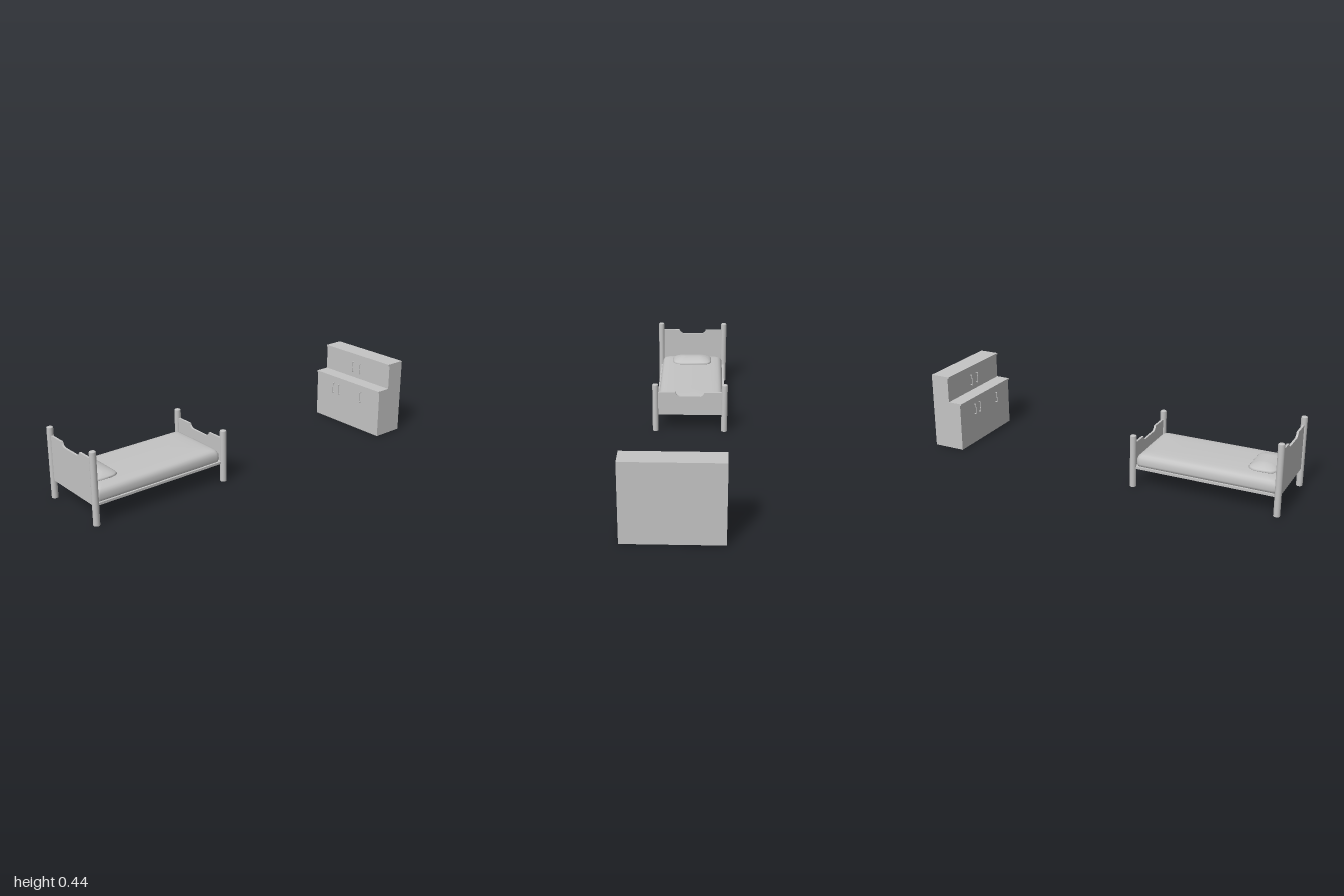
import * as THREE from 'three';

const lightGrey = new THREE.MeshStandardMaterial({ color: 0xc4c4c4 });
lightGrey.name = 'light grey';

function add(parent, geometry, name, x = 0, y = 0, z = 0) {
  const mesh = new THREE.Mesh(geometry, lightGrey);
  mesh.name = name;
  mesh.position.set(x, y, z);
  parent.add(mesh);
  return mesh;
}

function box(parent, name, w, h, d, x, y0, z) {
  return add(parent, new THREE.BoxGeometry(w, h, d), name, x, y0 + h / 2, z);
}

// Soft closed form: rounded rectangles stacked from bottom to top, profile = [y, inset]
function cushion(halfX, halfZ, radius, profile) {
  const corner = 5, ring = corner * 4, positions = [], index = [];
  for (const [y, inset] of profile) {
    const hx = Math.max(halfX - inset, 0.002), hz = Math.max(halfZ - inset, 0.002);
    const r = Math.min(radius, hx, hz);
    for (let i = 0; i < ring; i++) {
      const q = Math.floor(i / corner);
      const a = (q + (i % corner) / (corner - 1)) * Math.PI / 2;
      const sx = q === 0 || q === 3 ? 1 : -1, sz = q < 2 ? 1 : -1;
      positions.push(sx * (hx - r) + r * Math.cos(a), y, sz * (hz - r) + r * Math.sin(a));
    }
  }
  for (let k = 0; k < profile.length - 1; k++) {
    for (let i = 0; i < ring; i++) {
      const a = k * ring + i, b = k * ring + (i + 1) % ring;
      index.push(a, a + ring, b, b, a + ring, b + ring);
    }
  }
  // End caps
  const top = (profile.length - 1) * ring;
  for (let i = 1; i < ring - 1; i++) {
    index.push(0, i, i + 1, top, top + i + 1, top + i);
  }
  const geometry = new THREE.BufferGeometry();
  geometry.setAttribute('position', new THREE.Float32BufferAttribute(positions, 3));
  geometry.setIndex(index);
  geometry.computeVertexNormals();
  return geometry;
}

// Board with a lowered, curved notch in the middle of its top edge
function boardGeometry(bottom, top) {
  const low = top - 0.026, s = new THREE.Shape();
  s.moveTo(-0.207, bottom);
  s.lineTo(0.207, bottom);
  s.lineTo(0.207, top);
  s.lineTo(0.088, top);
  s.quadraticCurveTo(0.082, low + 0.006, 0.062, low);
  s.lineTo(-0.062, low);
  s.quadraticCurveTo(-0.082, low + 0.006, -0.088, top);
  s.lineTo(-0.207, top);
  s.closePath();
  const g = new THREE.ExtrudeGeometry(s, { depth: 0.012, bevelEnabled: false, curveSegments: 4 });
  return g.translate(0, 0, -0.006);
}

function createBed() {
  const bed = new THREE.Group();
  bed.name = 'bed';
  const halfW = 0.207, halfL = 0.409;

  // Posts and end boards
  for (const [end, z, height, top] of [['head', halfL, 0.405, 0.36], ['foot', -halfL, 0.3, 0.25]]) {
    for (const side of [-1, 1]) {
      const post = new THREE.LatheGeometry([
        [0, 0], [0.018, 0], [0.018, 0], [0.018, height - 0.005],
        [0.015, height - 0.001], [0, height],
      ].map(([r, y]) => new THREE.Vector2(r, y)), 20);
      add(bed, post, end + 'Post', side * halfW, 0, z);
    }
    add(bed, boardGeometry(0.105, top), end + 'board', 0, 0, z);
  }

  // Base and side rails
  box(bed, 'bedBase', 0.41, 0.01, 0.81, 0, 0.105, 0);
  for (const side of [-1, 1]) {
    box(bed, 'sideRail', 0.012, 0.013, 0.8, side * 0.203, 0.105, 0);
  }

  // Mattress and pillow
  add(bed, cushion(0.197, 0.402, 0.03, [
    [0.113, 0.004], [0.13, 0], [0.152, 0.001], [0.167, 0.006], [0.178, 0.016],
    [0.184, 0.032], [0.187, 0.06], [0.189, 0.11], [0.19, 0.194],
  ]), 'mattress');
  add(bed, cushion(0.125, 0.08, 0.045, [
    [0.18, 0.03], [0.186, 0.006], [0.192, 0], [0.199, 0.006],
    [0.207, 0.02], [0.214, 0.04], [0.218, 0.06], [0.219, 0.078],
  ]), 'pillow', 0, 0, 0.284);

  bed.position.set(-0.4145, 0, 0.525);
  return bed;
}

// Bent bar handle standing off the door
function addHandle(parent, x, y, z) {
  const handle = new THREE.Group();
  handle.name = 'handle';
  box(handle, 'handleGrip', 0.005, 0.065, 0.004, 0, -0.0325, 0.012);
  for (const y0 of [-0.0325, 0.0285]) {
    box(handle, 'handleMount', 0.005, 0.004, 0.012, 0, y0, 0.006);
  }
  handle.position.set(x, y, z);
  parent.add(handle);
}

function createCabinet() {
  const cabinet = new THREE.Group();
  cabinet.name = 'cabinet';
  const width = 0.527, back = -0.098;

  // Deep lower unit, shallow upper unit, each with a thin overhanging top
  for (const [name, y0, y1, depth] of [['lower', 0, 0.29, 0.196], ['upper', 0.29, 0.445, 0.118]]) {
    const slab = 0.01, bodyDepth = depth - 0.008;
    box(cabinet, name + 'Body', width, y1 - y0 - slab, bodyDepth, 0, y0, back + bodyDepth / 2);
    box(cabinet, name + 'Top', width, slab, depth, 0, y1 - slab, back + depth / 2);
  }

  for (const x of [-0.03, 0.03]) addHandle(cabinet, x, 0.357, 0.012);
  for (const x of [-0.117, -0.07, 0.115]) addHandle(cabinet, x, 0.212, 0.09);

  cabinet.position.set(0.5625, 0, -0.7675);
  return cabinet;
}

export function createModel() {
  const model = new THREE.Group();
  model.name = 'bedroomFurniture';
  for (const piece of [createBed(), createCabinet()]) {
    piece.rotation.y = -0.613;
    model.add(piece);
  }
  return model;
}
